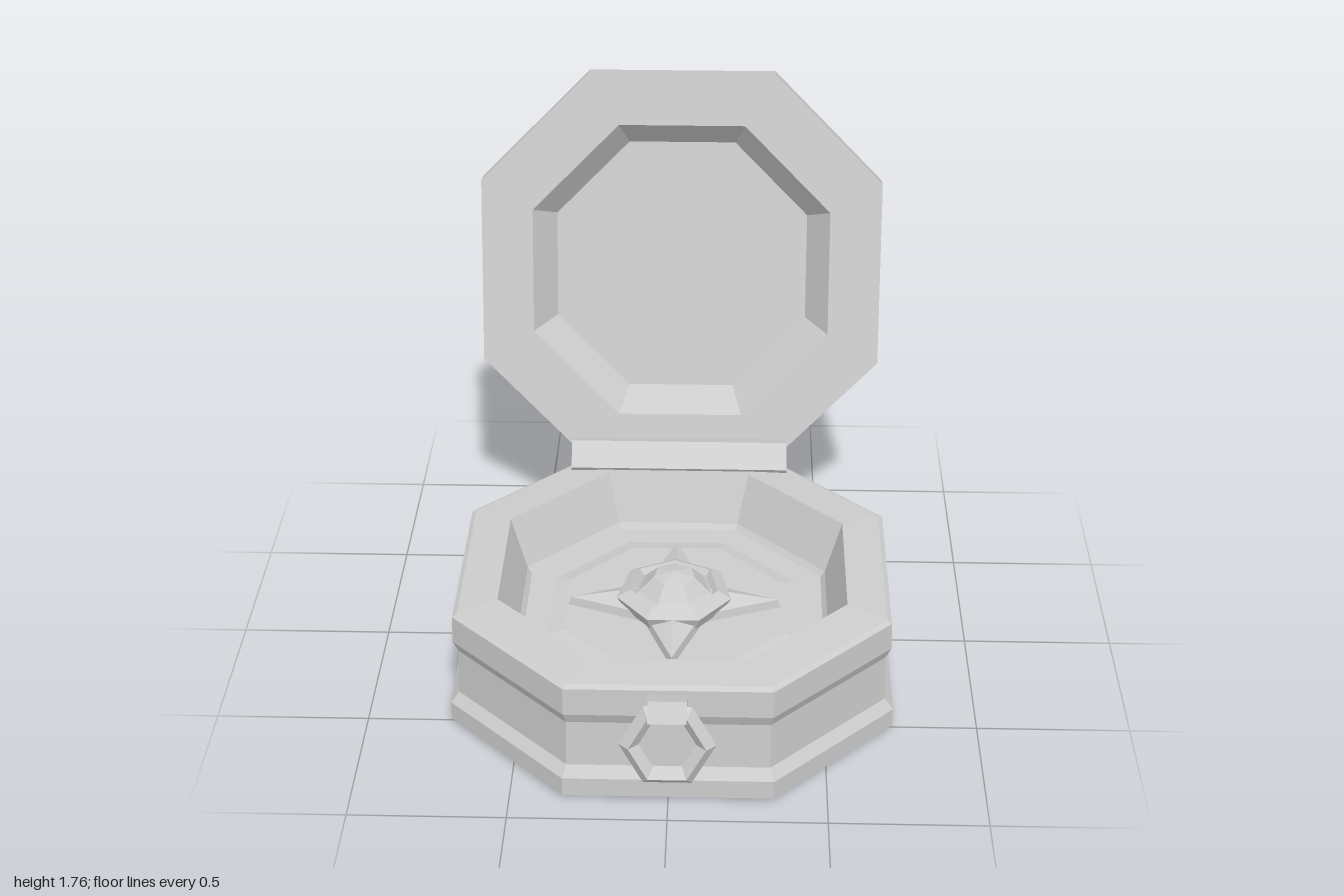
import * as THREE from 'three';

// Octagon corners (x, z): a = distance to the flat side, k = half side / a
const octagon = (a, k) => {
  const b = a * k;
  return [[a, b], [b, a], [-b, a], [-a, b], [-a, -b], [-b, -a], [b, -a], [a, -b]];
};

// Regular polygon, first corner towards -z; a second radius makes a star
const polygon = (n, r, r2 = r) => Array.from({ length: n }, (_, i) => {
  const t = -Math.PI / 2 + (i / n) * Math.PI * 2;
  const q = i % 2 ? r2 : r;
  return [q * Math.cos(t), q * Math.sin(t)];
});

// Skin a stack of rings [{ pts, y }], listed from the underside, outwards and up
function loft(rings) {
  const pos = [];
  for (let j = 0; j < rings.length - 1; j++) {
    const lo = rings[j], hi = rings[j + 1], n = lo.pts.length;
    for (let i = 0; i < n; i++) {
      const m = (i + 1) % n;
      const at = (r, c) => [r.pts[c][0], r.y, r.pts[c][1]];
      const A = at(lo, i), N = at(lo, m), U = at(hi, i), V = at(hi, m);
      if (lo.y !== hi.y || lo.pts !== hi.pts) {
        if (Math.hypot(...hi.pts[0]) > 1e-6) pos.push(...N, ...U, ...V);
        if (Math.hypot(...lo.pts[0]) > 1e-6) pos.push(...A, ...U, ...N);
      }
    }
  }
  const g = new THREE.BufferGeometry();
  g.setAttribute('position', new THREE.Float32BufferAttribute(pos, 3));
  g.computeVertexNormals();
  return g;
}

const octLoft = (profile) => loft(profile.map(([a, y, k = 0.46]) => ({ pts: octagon(a, k), y })));

export function createModel() {
  const model = new THREE.Group();
  model.name = 'hingedCase';
  const metal = new THREE.MeshStandardMaterial({ color: 0xcccccc, flatShading: true });
  metal.name = 'light grey metal';

  const add = (parent, name, geometry) => {
    const mesh = new THREE.Mesh(geometry, metal);
    mesh.name = name;
    parent.add(mesh);
    return mesh;
  };

  // Seven-sided stepped boss with a faceted dome
  const bossGeometry = (s) => loft([
    [0.17, 0], [0.195, 0.05], [0.15, 0.075], [0.135, 0.055], [0.12, 0.065], [0.07, 0.115], [0, 0.13],
  ].map(([r, y]) => ({ pts: polygon(7, r * s), y })));

  // Lower half: foot, waisted wall, rim, hollow with a stepped floor
  const base = new THREE.Group();
  base.name = 'base';
  base.position.z = 0.18;
  model.add(base);
  add(base, 'baseBody', octLoft([
    [0, 0], [0.722, 0.015], [0.722, 0.08], [0.695, 0.115], [0.69, 0.275], [0.707, 0.315],
    [0.705, 0.41], [0.69, 0.42], [0.565, 0.43, 0.435], [0.51, 0.26, 0.41], [0.495, 0.24, 0.41],
    [0.41, 0.24, 0.41], [0.36, 0.25, 0.41], [0, 0.25, 0.41],
  ]));

  // Four-pointed star with a faceted boss on the floor
  add(base, 'star', loft([[1, 0.24], [0.96, 0.28], [0, 0.34]]
    .map(([s, y]) => ({ pts: polygon(8, 0.36 * s, 0.14 * s), y }))));
  add(base, 'starBoss', bossGeometry(1)).position.y = 0.26;

  // Open lid: local y points out of its back
  const lid = new THREE.Group();
  lid.name = 'lid';
  lid.position.set(0, 1.078, -0.67);
  lid.rotation.x = -(Math.PI / 2 + 0.225);
  model.add(lid);
  add(lid, 'lidShell', octLoft([
    [0, 0.125, 0.42], [0.44, 0.12, 0.42], [0.517, 0, 0.42], [0.695, 0], [0.695, 0.083],
    [0.605, 0.206], [0.37, 0.206, 0.42], [0.32, 0.18, 0.42], [0, 0.18, 0.42],
  ]));
  add(lid, 'lidBoss', bossGeometry(0.92)).position.y = 0.17;

  // Bars extruded along x from a (z, y) outline
  const bar = (name, outline, halfWidth) => {
    const shape = new THREE.Shape(outline.map(([z, y]) => new THREE.Vector2(-z, y)));
    const g = new THREE.ExtrudeGeometry(shape, { depth: halfWidth * 2, bevelEnabled: false });
    g.translate(0, 0, -halfWidth);
    g.rotateY(Math.PI / 2);
    return add(model, name, g);
  };
  bar('hinge', [[-0.4, 0.44], [-0.455, 0.36], [-0.53, 0.355], [-0.56, 0.48], [-0.48, 0.505]], 0.38);
  bar('claspMount', [[0.87, 0.3], [0.87, 0.39], [0.955, 0.42], [0.99, 0.36], [0.95, 0.365], [0.91, 0.345]], 0.06);

  // Hexagonal pull ring
  const ring = add(model, 'claspRing', new THREE.TorusGeometry(0.12, 0.031, 4, 6));
  ring.position.set(0, 0.257, 0.953);
  ring.rotation.x = -0.16;
  ring.scale.z = 1.15;

  return model;
}
